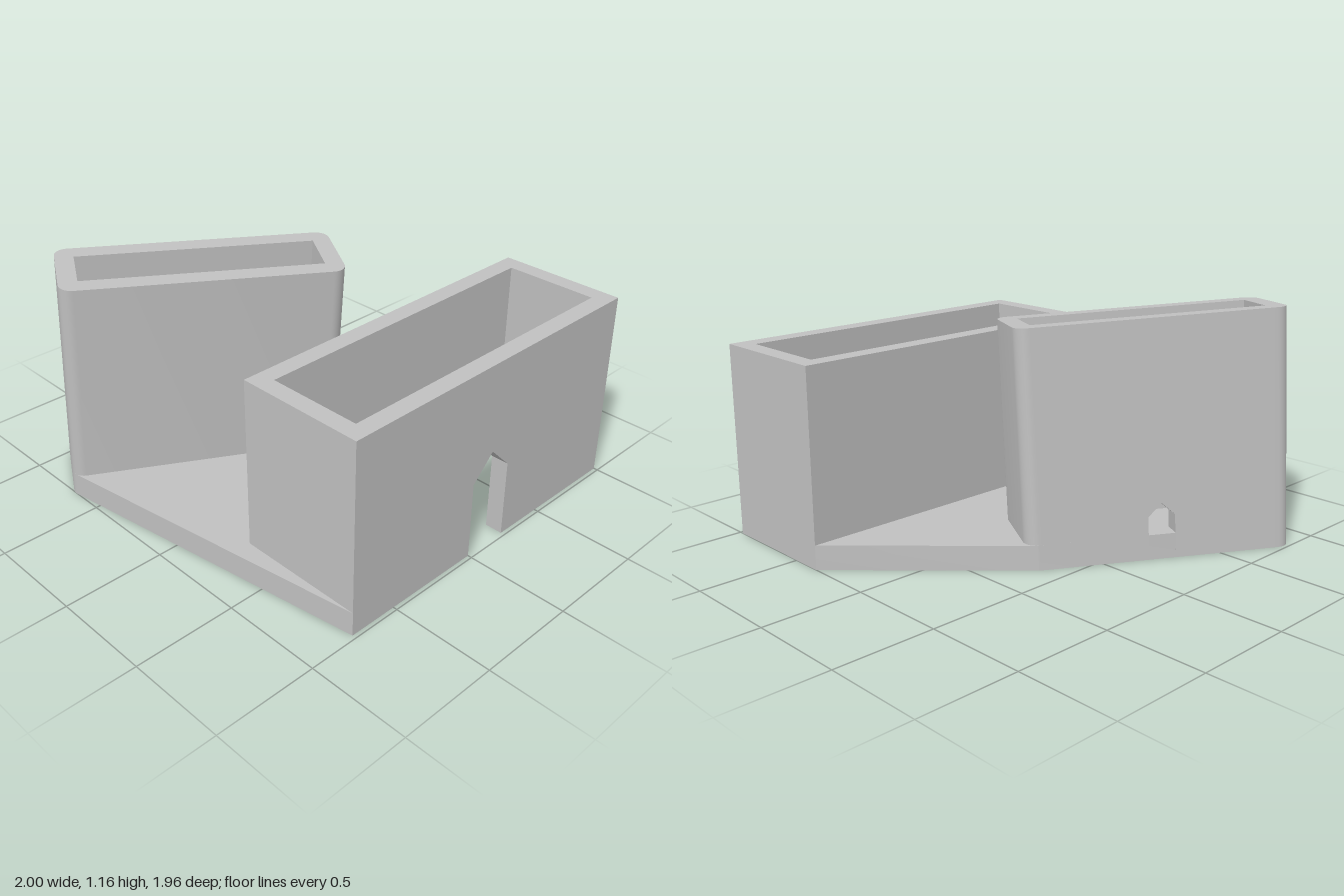
import * as THREE from 'three';
import { toCreasedNormals } from 'three/addons/utils/BufferGeometryUtils.js';

const rad = THREE.MathUtils.degToRad;
const TURN = rad(30), LEAN = rad(4);
const WALL = 0.0875;                       // wall thickness of both blocks
const HU = 0.655, HV = 0.2075, R = 0.0625; // leaning block: half length, half depth, corner radius
const CX = -0.353, CZ = -0.496;            // leaning block: centre on the ground

const shapeOf = pts => new THREE.Shape(pts.map(p => new THREE.Vector2(p[0], p[1])));

// Plan outline in (x, z), raised from the ground to a height
function raise(pts, height) {
  const g = new THREE.ExtrudeGeometry(shapeOf(pts), { depth: height, bevelEnabled: false });
  return g.rotateX(Math.PI / 2).translate(0, height, 0);
}

// Upright wall with a pointed doorway cut from its lower edge
function doorWall(x0, x1, height, zBack, thick, doorX, halfDoor, shoulder, apex) {
  const pts = [[x0, 0], [doorX - halfDoor, 0], [doorX - halfDoor, shoulder], [doorX, apex],
    [doorX + halfDoor, shoulder], [doorX + halfDoor, 0], [x1, 0], [x1, height], [x0, height]];
  const g = new THREE.ExtrudeGeometry(shapeOf(pts), { depth: thick, bevelEnabled: false });
  return g.translate(0, 0, zBack);
}

// Points of one rounded corner of the leaning block, angles in degrees
function corner(su, sv, from, to, steps = 8) {
  return Array.from({ length: steps + 1 }, (_, i) => {
    const a = rad(from + (to - from) * i / steps);
    return [su * (HU - R) + R * Math.cos(a), sv * (HV - R) + R * Math.sin(a)];
  });
}

// Turn about the vertical, tip forward, and keep the foot flat on the ground
function lean(g) {
  g.rotateY(-TURN);
  const p = g.attributes.position;
  for (let i = 0; i < p.count; i++) {
    const h = p.getY(i), z = p.getZ(i);
    if (h < 1e-5) p.setXYZ(i, p.getX(i) + CX, 0, z / Math.cos(LEAN) + CZ);
    else p.setXYZ(i, p.getX(i) + CX, h * Math.cos(LEAN) - z * Math.sin(LEAN),
      z * Math.cos(LEAN) + h * Math.sin(LEAN) + CZ);
  }
  return g;
}

export function createModel() {
  const model = new THREE.Group();
  model.name = 'twinBlocks';
  const grey = new THREE.MeshStandardMaterial({ color: 0xc0c0c0 });
  grey.name = 'grey';
  const add = (name, g, parent) => {
    const m = new THREE.Mesh(toCreasedNormals(g, 0.6), grey);
    m.name = name;
    parent.add(m);
  };

  // Straight front block: open top and bottom, doorway in its front wall
  const front = new THREE.Group();
  front.name = 'frontBlock';
  const x0 = -0.75, x1 = 1, z0 = 0.34, z1 = 0.98, zi = z1 - WALL, H = 0.96;
  add('frontBlockWalls', raise([[x0, z0], [x1, z0], [x1, zi], [x1 - WALL, zi],
    [x1 - WALL, z0 + WALL], [x0 + WALL, z0 + WALL], [x0 + WALL, zi], [x0, zi]], H), front);
  add('frontDoorWall', doorWall(x0, x1, H, zi, WALL, 0.12, 0.12, 0.39, 0.51), front);

  // Leaning rear block with rounded corners, doorway in its back wall
  const rear = new THREE.Group();
  rear.name = 'leaningBlock';
  const RH = 1.128, iu = HU - WALL;
  add('leaningBlockWalls', lean(raise([[iu, -HV],
    ...corner(1, -1, 270, 360), ...corner(1, 1, 0, 90),
    ...corner(-1, 1, 90, 180), ...corner(-1, -1, 180, 270),
    [-iu, -HV], [-iu, HV - WALL], [iu, HV - WALL]], RH)), rear);
  add('leaningDoorWall', lean(doorWall(-iu, iu, RH, -HV, WALL, 0, 0.066, 0.197, 0.26)), rear);

  // Base plate stretched around both blocks, its rear edge following the lean
  const rim = [...corner(-1, 1, 141, 180), ...corner(-1, -1, 180, 270), ...corner(1, -1, 270, 285)]
    .map(([u, v]) => [
      CX + u * Math.cos(TURN) - v * Math.sin(TURN),
      CZ + u * Math.sin(TURN) + v * Math.cos(TURN)]);
  const plate = raise([[x0, z1], ...rim, [x1, z0], [x0, z0]], 0.12);
  const p = plate.attributes.position;
  for (let i = 0; i < p.count; i++) {
    if (p.getZ(i) < 0.3) p.setZ(i, p.getZ(i) + p.getY(i) * Math.tan(LEAN));
  }
  add('basePlate', plate, model);

  model.add(front, rear);
  return model;
}
